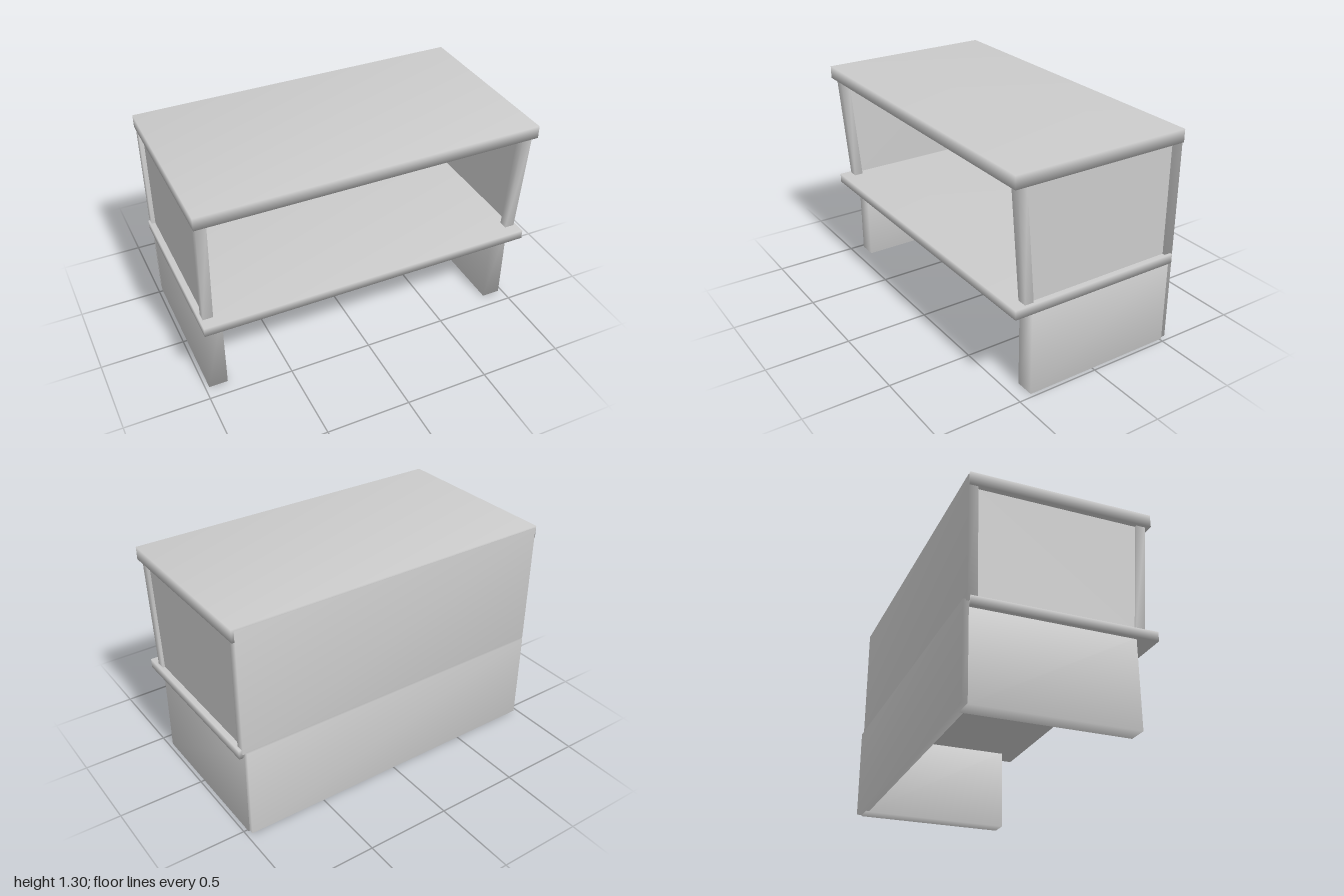
import * as THREE from 'three';
import { mergeVertices } from 'three/addons/utils/BufferGeometryUtils.js';

const material = new THREE.MeshStandardMaterial({ color: 0xcccccc });
const thinMaterial = new THREE.MeshStandardMaterial({ color: 0xcccccc, side: THREE.DoubleSide });

// Board between two limits per axis, with corner normals shared for soft shading;
// lean pushes the top end forward along z.
function board(name, [x0, x1], [y0, y1], [z0, z1], lean = 0) {
  let g = new THREE.BoxGeometry(x1 - x0, y1 - y0, z1 - z0);
  g.translate((x0 + x1) / 2, (y0 + y1) / 2, (z0 + z1) / 2);
  const p = g.attributes.position;
  for (let i = 0; i < p.count; i++) {
    p.setZ(i, p.getZ(i) + lean * (p.getY(i) - y0) / (y1 - y0));
  }
  g.deleteAttribute('normal');
  g.deleteAttribute('uv');
  g = mergeVertices(g);
  g.computeVertexNormals();
  const mesh = new THREE.Mesh(g, material);
  mesh.name = name;
  return mesh;
}

// Thin infill sheet between the back wall and the leaning front post
function sidePanel(name, x) {
  const shape = new THREE.Shape([
    new THREE.Vector2(0.48, 0.55),
    new THREE.Vector2(-0.44, 0.55),
    new THREE.Vector2(-0.49, 1.235),
    new THREE.Vector2(0.48, 1.235),
  ]);
  const mesh = new THREE.Mesh(new THREE.ShapeGeometry(shape).rotateY(Math.PI / 2), thinMaterial);
  mesh.position.x = x;
  mesh.name = name;
  return mesh;
}

export function createModel() {
  const model = new THREE.Group();
  model.name = 'marketStall';

  // Horizontal slabs
  model.add(board('roof', [-1, 1], [1.225, 1.3], [-0.522, 0.545]));
  model.add(board('counter', [-1, 1], [0.512, 0.567], [-0.512, 0.535]));

  // Back walls
  model.add(board('upperBack', [-0.99, 0.985], [0.545, 1.29], [-0.527, -0.472]));
  model.add(board('lowerBack', [-0.975, 0.97], [0.005, 0.553], [-0.543, -0.49]));

  // Legs, leaning posts and side infills
  for (const [side, s] of [['left', 1], ['right', -1]]) {
    const span = (a, b) => (s > 0 ? [a, b] : [-b, -a]);
    model.add(board(side + 'Leg', span(0.865, 0.977), [0, 0.52], [-0.512, 0.415]));
    model.add(board(side + 'FrontPost', span(0.925, 0.983), [0.56, 1.23], [0.412, 0.465], 0.052));
    model.add(sidePanel(side + 'Panel', s * 0.968));
  }
  return model;
}
